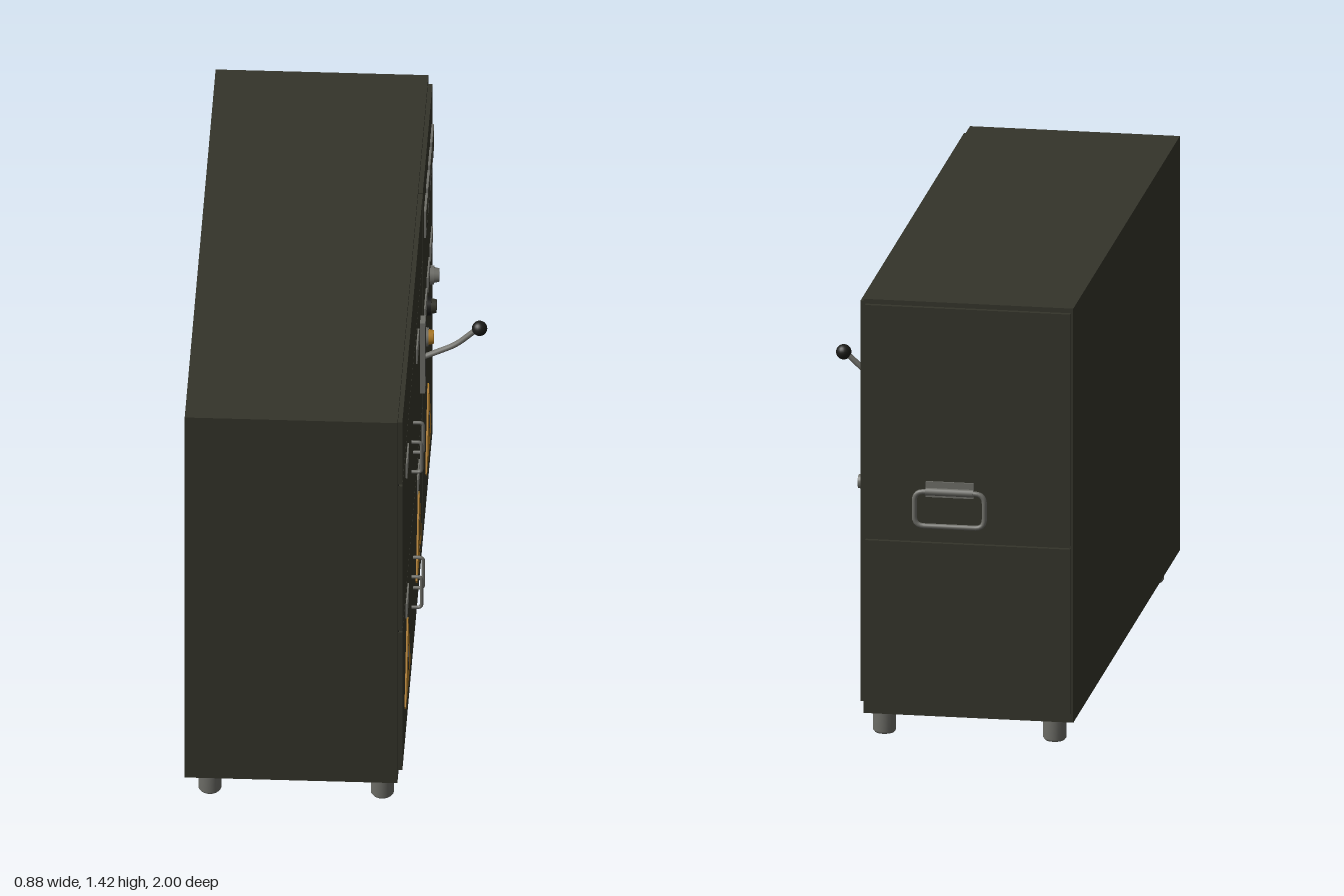
import * as THREE from 'three';

const paint = (name, color) => {
  const m = new THREE.MeshStandardMaterial({ color });
  m.name = name;
  return m;
};

export function createModel() {
  const olive = paint('olive paint', 0x34342a);
  const steel = paint('grey steel', 0x6e6e68);
  const amber = paint('amber', 0xb07c26);
  const black = paint('black', 0x1b1b18);

  const model = new THREE.Group();
  model.name = 'controlCabinet';

  const add = (parent, name, geometry, material, x = 0, y = 0, z = 0) => {
    const mesh = new THREE.Mesh(geometry, material);
    mesh.name = name;
    mesh.position.set(x, y, z);
    parent.add(mesh);
    return mesh;
  };
  // Plate on a wall: u runs across, v up, d is the outward depth range
  const plate = (parent, name, u0, u1, v0, v1, d0, d1, material) =>
    add(parent, name, new THREE.BoxGeometry(u1 - u0, v1 - v0, d1 - d0), material,
      (u0 + u1) / 2, (v0 + v1) / 2, (d0 + d1) / 2);
  const centred = (parent, name, u, v, w, h, d0, d1, material) =>
    plate(parent, name, u - w / 2, u + w / 2, v - h / 2, v + h / 2, d0, d1, material);
  // Disc or rod whose axis points out of a wall
  const disc = (parent, name, u, v, r0, r1, d0, d1, material) => {
    const g = new THREE.CylinderGeometry(r1, r0, d1 - d0, 24).rotateX(Math.PI / 2);
    return add(parent, name, g, material, u, v, (d0 + d1) / 2);
  };
  // Rod bent through points with small rounded corners
  const rod = (parent, name, points, radius, material, round = 0.012, closed = false) => {
    const p = points.map(a => new THREE.Vector3(...a));
    const path = new THREE.CurvePath();
    const n = p.length;
    const near = (i, j) => p[i].clone().add(p[j].clone().sub(p[i]).setLength(round));
    let last = closed ? near(0, 1) : p[0];
    for (let i = 1; i < (closed ? n + 1 : n - 1); i++) {
      const k = i % n, a = near(k, i - 1), b = near(k, (i + 1) % n);
      path.add(new THREE.LineCurve3(last, a));
      path.add(new THREE.QuadraticBezierCurve3(a, p[k], b));
      last = b;
    }
    if (!closed) path.add(new THREE.LineCurve3(last, p[n - 1]));
    return add(parent, name, new THREE.TubeGeometry(path, 64, radius, 10, closed), material);
  };
  const flat = (parent, name, points, depth, d, material) => {
    const shape = new THREE.Shape(points.map(a => new THREE.Vector2(...a)));
    return add(parent, name, new THREE.ExtrudeGeometry(shape, { depth, bevelEnabled: false }), material, 0, 0, d);
  };

  // Cabinet shell
  add(model, 'cabinetBody', new THREE.BoxGeometry(0.66, 1.335, 1.965), olive, -0.11, 0.7525, 0.0175);

  // Feet with a softened bottom edge
  const footProfile = [[0, 0], [0.03, 0], [0.036, 0.008], [0.036, 0.09]].map(a => new THREE.Vector2(...a));
  for (const x of [-0.365, 0.17])
    for (const z of [0.93, -0.865])
      add(model, 'foot', new THREE.LatheGeometry(footProfile, 24), steel, x, 0, z);

  // Operating side, faces +x; local u equals -z
  const face = new THREE.Group();
  face.name = 'operatingSide';
  face.rotation.y = Math.PI / 2;
  face.position.x = 0.22;
  model.add(face);
  const D = 0.014;

  plate(face, 'seamBacking', -0.97, 0.935, 0.117, 1.403, 0, 0.003, black);
  const panels = [
    ['topPanel', -0.972, 0.317, 1.174, 1.405],
    ['upperDoor', -0.972, -0.332, 0.632, 1.168],
    ['upperDoor', -0.326, 0.317, 0.632, 1.168],
    ['lowerDoor', -0.972, -0.332, 0.115, 0.626],
    ['lowerDoor', -0.326, 0.317, 0.115, 0.626],
    ['instrumentPanel', 0.323, 0.938, 0.115, 1.405],
  ];
  for (const [name, u0, u1, v0, v1] of panels) plate(face, name, u0, u1, v0, v1, 0, D, olive);

  // Name plates
  const labels = [[-0.70, 1.085], [-0.055, 1.085], [-0.70, 0.565], [0, 0.565],
    [0.455, 0.9], [0.63, 0.9], [0.805, 0.9]];
  for (const [u, v] of labels) centred(face, 'namePlate', u, v, 0.118, 0.054, D, D + 0.005, steel);

  // Meters
  for (const u of [0.44, 0.57, 0.70, 0.83]) {
    centred(face, 'meterFrame', u, 1.245, 0.105, 0.097, D, D + 0.007, steel);
    centred(face, 'meterWindow', u, 1.255, 0.087, 0.058, D + 0.005, D + 0.008, olive);
    centred(face, 'meterScrew', u, 1.21, 0.016, 0.009, D + 0.005, D + 0.008, black);
  }

  // Indicator lamps and button
  [[0.455, amber], [0.63, black], [0.805, steel]].forEach(([u, material]) => {
    disc(face, 'lampRing', u, 0.785, 0.031, 0.029, D, D + 0.012, material === black ? black : steel);
    disc(face, 'lampCap', u, 0.785, 0.025, 0.021, D + 0.01, D + 0.028, material === black ? olive : material);
  });

  // Door handles
  for (const u of [-0.39, -0.28])
    for (const [v0, v1] of [[0.84, 0.95], [0.338, 0.45]])
      rod(face, 'doorHandle', [[u, v0, D], [u, v0, 0.045], [u, v1, 0.045], [u, v1, D]], 0.0055, steel);

  // Switch lever with slotted guide
  const L = 0.165;
  centred(face, 'leverGuide', L, 0.91, 0.046, 0.26, D, 0.03, steel);
  centred(face, 'leverSlot', L, 0.92, 0.018, 0.18, 0.026, 0.031, black);
  rod(face, 'lever', [[L, 0.90, 0.02], [L, 0.95, 0.125], [L, 1.01, 0.19]], 0.009, steel, 0.03);
  add(face, 'leverKnob', new THREE.SphereGeometry(0.024, 20, 14), black, L, 1.013, 0.198);

  // Warning triangles with dark symbols
  const bolt = [[0.008, 0.392], [-0.018, 0.352], [-0.002, 0.354], [-0.012, 0.315],
    [0.02, 0.362], [0.003, 0.36], [0.018, 0.392]];
  for (const [u, sign] of [[-0.70, 'bolt'], [0.012, 'mark'], [0.62, 'bolt']]) {
    const tri = [[-0.132, 0.25], [0.132, 0.25], [0.14, 0.262], [0.01, 0.498], [-0.01, 0.498], [-0.14, 0.262]];
    const at = pts => pts.map(([a, b]) => [a + u, b]);
    flat(face, 'warningTriangle', at(tri), 0.005, D, amber);
    if (sign === 'bolt') flat(face, 'boltSymbol', at(bolt), 0.003, D + 0.004, black);
    else {
      const mark = [[-0.007, 0.325], [0.007, 0.325], [0.015, 0.405], [0.008, 0.415], [-0.008, 0.415], [-0.015, 0.405]];
      flat(face, 'exclamationBar', at(mark), 0.003, D + 0.004, black);
      disc(face, 'exclamationDot', u, 0.293, 0.012, 0.012, D + 0.004, D + 0.007, black);
    }
  }

  // Rear end, faces -z; local u equals -x
  const rear = new THREE.Group();
  rear.name = 'rearEnd';
  rear.rotation.y = Math.PI;
  rear.position.z = -0.965;
  model.add(rear);
  plate(rear, 'rearUpperPanel', -0.212, 0.432, 0.657, 1.405, 0, 0.016, olive);
  plate(rear, 'rearLowerPanel', -0.212, 0.432, 0.115, 0.647, 0, 0.016, olive);

  // Hanging carrying handle and its hinge plate
  rod(rear, 'carryHandle', [[-0.055, 0.705, 0.026], [0.165, 0.705, 0.026],
    [0.165, 0.815, 0.026], [-0.055, 0.815, 0.026]], 0.008, steel, 0.03, true);
  centred(rear, 'handlePlate', 0.055, 0.822, 0.15, 0.05, 0.014, 0.022, steel);
  const hinge = new THREE.CylinderGeometry(0.012, 0.012, 0.15, 16).rotateZ(Math.PI / 2);
  add(rear, 'handleHinge', hinge, steel, 0.055, 0.815, 0.023);

  return model;
}
